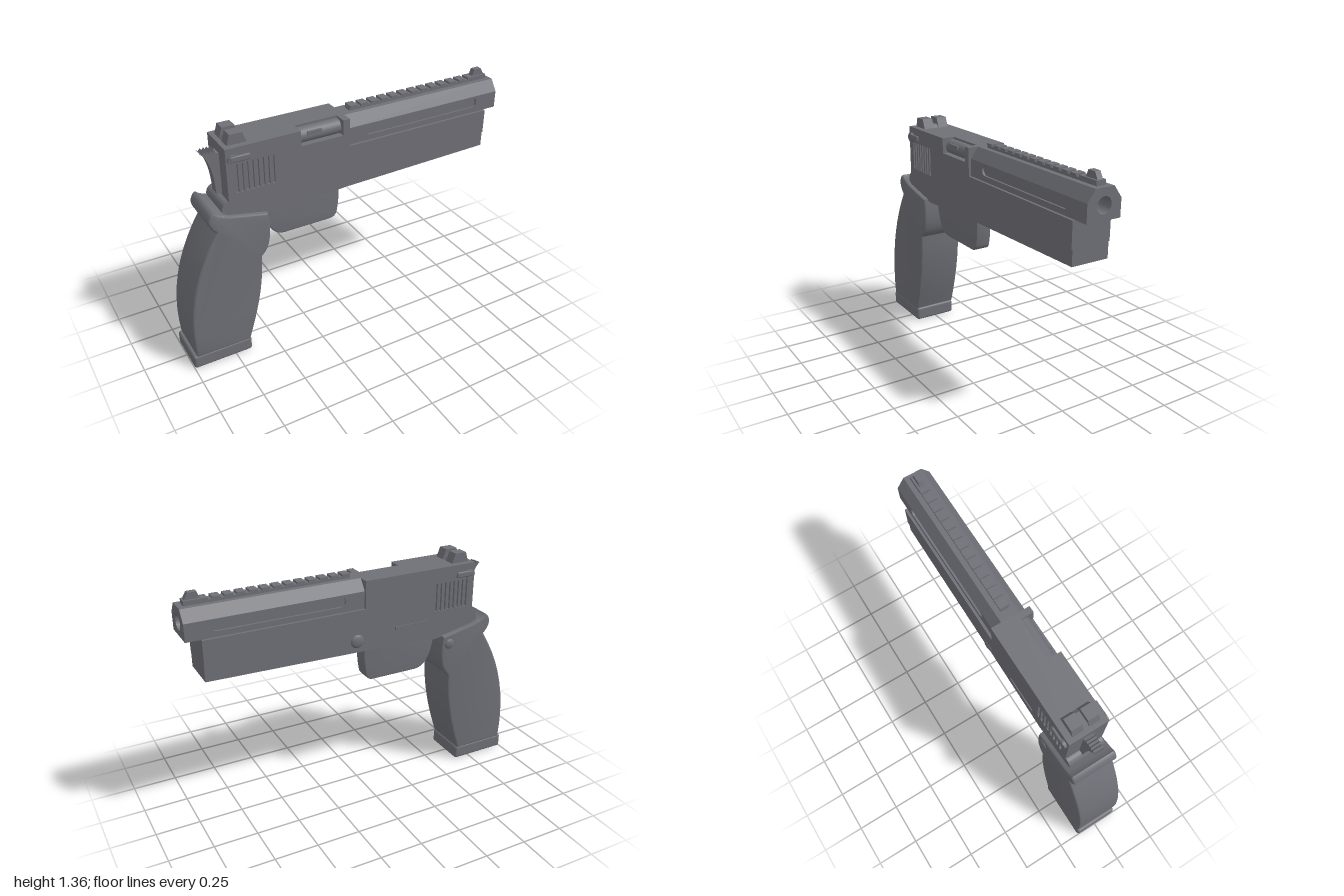
import * as THREE from 'three';
import { toCreasedNormals } from 'three/addons/utils/BufferGeometryUtils.js';
import { RoundedBoxGeometry } from 'three/addons/geometries/RoundedBoxGeometry.js';

const gunmetal = new THREE.MeshStandardMaterial({ color: 0x6f7077, side: THREE.DoubleSide });
gunmetal.name = 'gunmetal';

export function createModel() {
  const model = new THREE.Group();
  model.name = 'pistol';
  model.position.z = 0.005;

  const add = (name, geometry, x = 0, y = 0, z = 0) => {
    const mesh = new THREE.Mesh(geometry, gunmetal);
    mesh.name = name;
    mesh.position.set(x, y, z);
    model.add(mesh);
    return mesh;
  };
  const poly = (pts) => new THREE.Shape(pts.map(([x, y]) => new THREE.Vector2(x, y)));
  // rounded slot outline, long in x or in y
  const slot = (x0, x1, y0, y1) => {
    const p = new THREE.Path(), r = Math.min(x1 - x0, y1 - y0) / 2;
    p.absarc(x1 - r, y0 + r, r, -Math.PI / 2, 0);
    p.absarc(x1 - r, y1 - r, r, 0, Math.PI / 2);
    p.absarc(x0 + r, y1 - r, r, Math.PI / 2, Math.PI);
    p.absarc(x0 + r, y0 + r, r, Math.PI, Math.PI * 1.5);
    p.closePath();
    return p;
  };
  // side outline (x, y) extruded from z0 to z1, with an optional rounded rim
  const slab = (shape, z0, z1, bevel = 0) => {
    const g = new THREE.ExtrudeGeometry(shape, {
      depth: z1 - z0 - 2 * bevel, curveSegments: 10, bevelEnabled: bevel > 0,
      bevelThickness: bevel, bevelSize: bevel, bevelOffset: -bevel, bevelSegments: 3,
    });
    g.translate(0, 0, z0 + bevel);
    return toCreasedNormals(g, 0.6);
  };
  // end outline (-z, y) extruded from x0 to x1
  const bar = (shape, x0, x1) => {
    const g = new THREE.ExtrudeGeometry(shape, { depth: x1 - x0, bevelEnabled: false, curveSegments: 24 });
    g.translate(0, 0, x0);
    g.rotateY(Math.PI / 2);
    return toCreasedNormals(g, 0.6);
  };
  const box = (w, h, d) => new THREE.BoxGeometry(w, h, d);

  // Slide and dust cover in layers: slotted skins, solid core, ejection port cut on the +z side
  const solidSide = () => poly([[-0.71, 0.995], [0.92, 0.995], [0.92, 1.137], [0, 1.137], [0, 1.297], [-0.71, 1.297]]);
  const portSide = () => poly([[-0.71, 0.995], [0.92, 0.995], [0.92, 1.137], [0, 1.137], [0, 1.297],
    [-0.04, 1.297], [-0.04, 1.21], [-0.29, 1.21], [-0.29, 1.297], [-0.71, 1.297]]);
  const serrate = (shape) => {
    for (let i = 0; i < 8; i++) {
      const x = -0.665 + i * 0.029;
      shape.holes.push(new THREE.Path([[x, 1.04], [x, 1.205], [x + 0.016, 1.205], [x + 0.016, 1.04]]
        .map(([a, b]) => new THREE.Vector2(a, b))));
    }
    return shape;
  };
  add('slideLeftSkin', slab(serrate(portSide()), 0.102, 0.115));
  add('slidePortLayer', slab(portSide(), 0.04, 0.102));
  add('slideCore', slab(solidSide(), -0.102, 0.04));
  add('slideRightSkin', slab(serrate(solidSide()), -0.115, -0.102));

  // Chamber seen through the ejection port
  const chamber = new THREE.CylinderGeometry(0.043, 0.043, 0.25, 24);
  chamber.rotateZ(Math.PI / 2);
  add('chamber', chamber, -0.165, 1.243, 0.05);
  add('extractor', box(0.085, 0.02, 0.012), -0.2, 1.262, 0.09);

  // Barrel shroud with bevelled top, bore and long side grooves
  const shroud = poly([[-0.088, 1.137], [0.088, 1.137], [0.088, 1.235], [0.1, 1.235],
    [0.055, 1.297], [-0.055, 1.297], [-0.1, 1.235], [-0.088, 1.235]]);
  const boreHole = new THREE.Path();
  boreHole.absarc(0, 1.212, 0.043, 0, Math.PI * 2);
  shroud.holes.push(boreHole);
  add('barrelShroud', bar(shroud, 0, 1));
  for (const s of [1, -1]) {
    const skin = poly([[0, 1.137], [1, 1.137], [1, 1.235], [0, 1.235]]);
    skin.holes.push(slot(0.115, 0.86, 1.168, 1.226));
    add('barrelGroovedSide', slab(skin, s > 0 ? 0.088 : -0.1, s > 0 ? 0.1 : -0.088));
  }
  const boreEnd = new THREE.SphereGeometry(0.043, 24, 10, 0, Math.PI * 2, 0, Math.PI / 2);
  boreEnd.rotateZ(Math.PI / 2);
  add('boreEnd', boreEnd, 0.93, 1.212, 0);

  // Top rail with cross teeth, and front sight
  add('rail', box(0.92, 0.016, 0.05), 0.51, 1.304, 0);
  for (let i = 0; i < 13; i++) add('railTooth', box(0.045, 0.014, 0.056), 0.075 + i * 0.066, 1.317, 0);
  add('frontSightBase', box(0.1, 0.024, 0.056), 0.92, 1.312, 0);
  add('frontSight', slab(poly([[0.88, 1.32], [0.965, 1.32], [0.942, 1.36], [0.895, 1.36]]), -0.016, 0.016));

  // Notched rear sight
  const sight = (top) => poly([[-0.685, 1.295], [-0.575, 1.295], [-0.598, top], [-0.668, top]]);
  add('rearSightBase', slab(sight(1.315), -0.08, 0.08));
  for (const s of [1, -1]) {
    add('rearSightEar', slab(sight(1.353), s > 0 ? 0.016 : -0.08, s > 0 ? 0.08 : -0.016));
  }

  // Hammer with serrated spur
  const hammer = new THREE.Shape();
  hammer.moveTo(-0.7, 1.01);
  hammer.lineTo(-0.7, 1.24);
  hammer.lineTo(-0.725, 1.245);
  for (let i = 0; i < 4; i++) {
    hammer.lineTo(-0.733 - i * 0.018, 1.265);
    hammer.lineTo(-0.743 - i * 0.018, 1.25);
  }
  hammer.lineTo(-0.808, 1.258);
  hammer.quadraticCurveTo(-0.745, 1.2, -0.742, 1.015);
  add('hammer', slab(hammer, -0.028, 0.028));

  // Lower frame with rounded tail
  const frame = poly([[-0.7, 0.998], [-0.72, 0.998]]);
  frame.quadraticCurveTo(-0.75, 0.985, -0.75, 0.95);
  frame.quadraticCurveTo(-0.748, 0.927, -0.72, 0.917);
  for (const [x, y] of [[-0.47, 0.865], [0, 0.887], [0.92, 0.907], [0.92, 0.998]]) frame.lineTo(x, y);
  add('frame', slab(frame, -0.109, 0.109));

  // Grip
  const grip = new THREE.Shape();
  grip.moveTo(-0.98, 0.08);
  grip.bezierCurveTo(-1.01, 0.36, -0.95, 0.61, -0.797, 0.845);
  grip.quadraticCurveTo(-0.835, 0.88, -0.836, 0.92);
  grip.quadraticCurveTo(-0.825, 0.963, -0.803, 0.968);
  grip.quadraticCurveTo(-0.78, 0.945, -0.742, 0.935);
  grip.lineTo(-0.72, 0.922);
  grip.lineTo(-0.505, 0.878);
  grip.bezierCurveTo(-0.49, 0.77, -0.495, 0.66, -0.555, 0.62);
  grip.bezierCurveTo(-0.555, 0.44, -0.595, 0.27, -0.66, 0.08);
  add('grip', slab(grip, -0.136, 0.136, 0.012));
  add('gripBase', new RoundedBoxGeometry(0.35, 0.086, 0.264, 3, 0.016), -0.825, 0.043, 0);

  // Trigger guard loop
  const guardLoop = (o, top) => {
    const p = new THREE.Shape();
    p.moveTo(-0.5 + o, top);
    p.bezierCurveTo(-0.49 + o, 0.75, -0.45 + o / 2, 0.665 + o, -0.37, 0.665 + o);
    p.lineTo(-0.09, 0.665 + o);
    p.quadraticCurveTo(-0.045 - o, 0.665 + o, -0.04 - o, 0.71 + o);
    p.quadraticCurveTo(-0.022 - o, 0.8, -0.03 - o, top);
    p.closePath();
    return p;
  };
  const guard = guardLoop(0, 0.9);
  guard.holes.push(guardLoop(0.026, 0.893));
  add('triggerGuard', slab(guard, -0.047, 0.047, 0.006));

  // Curved trigger
  const trigger = new THREE.Shape();
  trigger.moveTo(-0.305, 0.89);
  trigger.quadraticCurveTo(-0.255, 0.81, -0.297, 0.728);
  trigger.lineTo(-0.252, 0.728);
  trigger.quadraticCurveTo(-0.225, 0.81, -0.25, 0.89);
  add('trigger', slab(trigger, -0.03, 0.03, 0.005));

  // Safety levers on both sides
  for (const s of [1, -1]) {
    const pivot = new THREE.CylinderGeometry(0.027, 0.027, 0.02, 20);
    pivot.rotateX(Math.PI / 2);
    add('safetyPivot', pivot, -0.675, 1.235, s * 0.121);
    add('safetyLever', new RoundedBoxGeometry(0.11, 0.034, 0.016, 2, 0.007), -0.637, 1.24, s * 0.126);
  }

  // Domed pins and slide stop on the right side
  const dome = (name, x, y, z, r, h) => {
    const g = new THREE.SphereGeometry(r, 24, 8, 0, Math.PI * 2, 0, Math.PI / 2);
    g.scale(1, h / r, 1);
    g.rotateX(-Math.PI / 2);
    add(name, g, x, y, z);
  };
  dome('framePin', 0.05, 0.955, -0.108, 0.04, 0.016);
  dome('gripPin', -0.55, 0.827, -0.135, 0.031, 0.012);
  add('slideStop', box(0.21, 0.022, 0.014), -0.295, 0.987, -0.113);

  return model;
}
